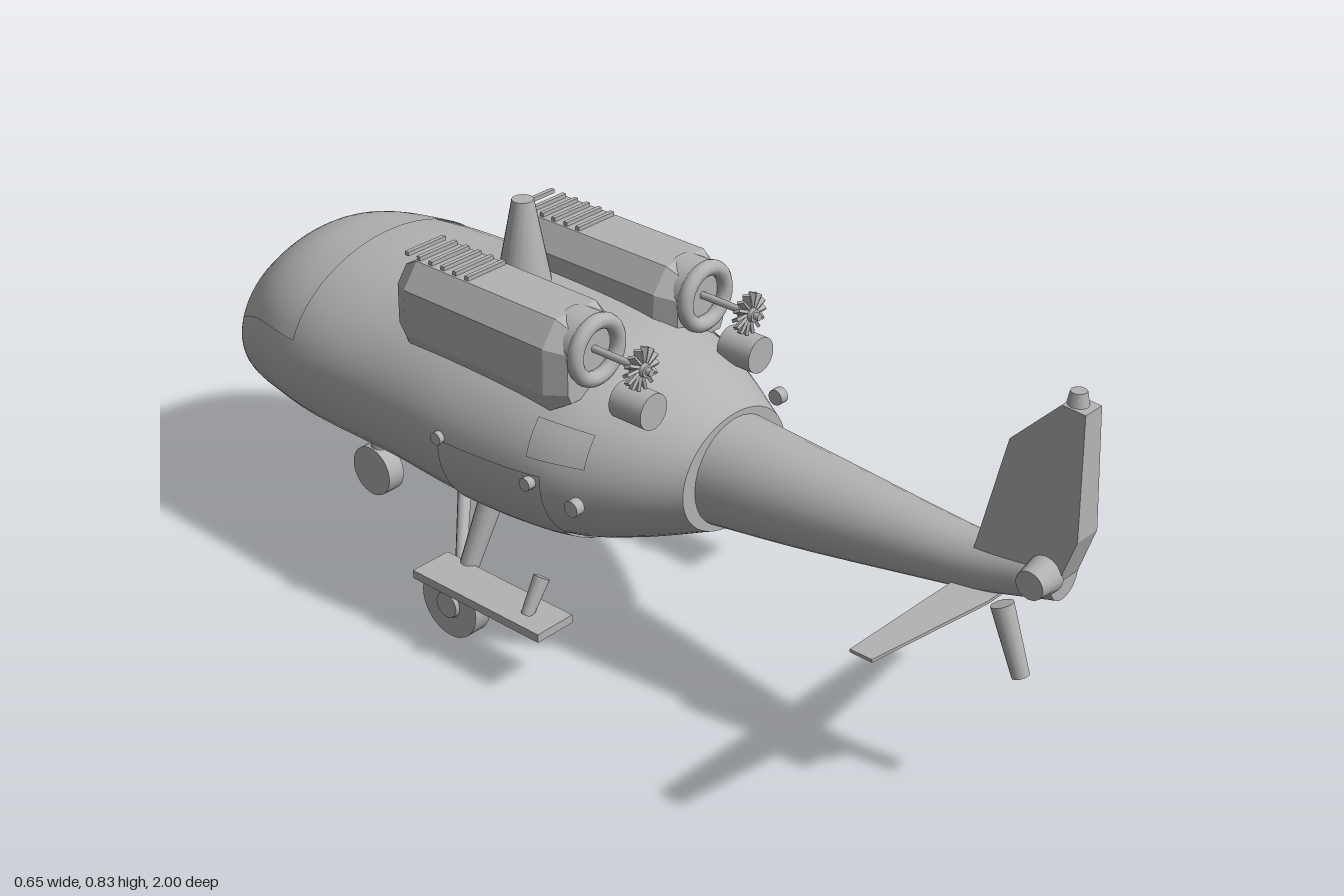
import * as THREE from 'three';

const V = (x, y, z) => new THREE.Vector3(x, y, z);

export function createModel() {
  const root = new THREE.Group();
  const grey = new THREE.MeshStandardMaterial({ color: 0xb3b3b3, side: THREE.DoubleSide });
  grey.name = 'plain grey';

  function add(name, geo, x = 0, y = 0, z = 0) {
    const m = new THREE.Mesh(geo, grey);
    m.name = name;
    m.position.set(x, y, z);
    root.add(m);
    return m;
  }
  const box = (name, w, h, d, x, y, z) => add(name, new THREE.BoxGeometry(w, h, d), x, y, z);

  // Cylinder or cone running from point a to point b
  function bar(name, a, b, ra, rb = ra, sides = 16) {
    const m = add(name, new THREE.CylinderGeometry(rb, ra, a.distanceTo(b), sides));
    m.position.copy(a).add(b).multiplyScalar(0.5);
    m.quaternion.setFromUnitVectors(V(0, 1, 0), b.clone().sub(a).normalize());
    return m;
  }

  // Smooth skin through elliptical sections [z, top, bottom, half width]
  function loft(sections, { a0 = 0, a1 = Math.PI * 2, t0 = 0, t1 = 1, off = 0, rows = 60, cols = 48 } = {}) {
    const heights = new THREE.CatmullRomCurve3(sections.map(s => V(s[0], s[1], s[2])), false, 'catmullrom');
    const widths = new THREE.CatmullRomCurve3(sections.map(s => V(s[0], s[3], 0)), false, 'catmullrom');
    const pos = [], idx = [];
    for (let i = 0; i <= rows; i++) {
      const t = t0 + (t1 - t0) * i / rows;
      const h = heights.getPoint(t), w = widths.getPoint(t).y + off;
      const cy = (h.y + h.z) / 2, ry = (h.y - h.z) / 2 + off;
      for (let j = 0; j <= cols; j++) {
        const a = a0 + (a1 - a0) * j / cols;
        pos.push(Math.cos(a) * w, cy + Math.sin(a) * ry, h.x);
        if (i < rows && j < cols) {
          const k = i * (cols + 1) + j, n = k + cols + 1;
          idx.push(k, k + 1, n, k + 1, n + 1, n);
        }
      }
    }
    const g = new THREE.BufferGeometry();
    g.setAttribute('position', new THREE.Float32BufferAttribute(pos, 3));
    g.setIndex(idx);
    g.computeVertexNormals();
    return g;
  }
  // Flat end on a lofted body
  function endCap(name, [z, top, bottom, w], facing) {
    const m = add(name, new THREE.CircleGeometry(1, 48), 0, (top + bottom) / 2, z);
    m.scale.set(w, (top - bottom) / 2, 1);
    if (facing < 0) m.rotation.y = Math.PI;
  }

  // Fuselage, nose towards -z
  const body = [
    [-1, .30, .28, .012], [-.98, .37, .245, .075], [-.94, .43, .22, .13], [-.88, .51, .203, .18],
    [-.77, .59, .207, .235], [-.62, .615, .213, .276], [-.4, .625, .213, .284], [-.2, .63, .203, .289],
    [0, .62, .212, .268], [.13, .585, .25, .215], [.26, .535, .305, .14]];
  add('fuselage', loft(body));
  endCap('noseTip', body[0], -1);
  endCap('fuselageRearWall', body[10], 1);

  // Thin raised panels that follow the skin
  add('windscreen', loft(body, { a0: .3, a1: Math.PI - .3, t0: .3, t1: .5, off: .003, rows: 16, cols: 24 }));
  for (const s of [0, 1]) {
    const span = (lo, hi) => s ? { a0: Math.PI - hi, a1: Math.PI - lo } : { a0: lo, a1: hi };
    add('sideDoor', loft(body, { ...span(-1.1, .05), t0: .7, t1: .82, off: .004, rows: 12, cols: 14 }));
    add('sideWindow', loft(body, { ...span(.2, .55), t0: .8, t1: .88, off: .004, rows: 8, cols: 6 }));
  }

  // Tail boom
  const boom = [[.24, .525, .31, .11], [.45, .515, .34, .09], [.67, .505, .378, .065],
    [.81, .503, .405, .05], [.96, .525, .447, .038]];
  add('tailBoom', loft(boom, { rows: 24, cols: 32 }));
  endCap('tailBoomEnd', boom[4], 1);

  // Tail fin, thinner towards the top
  const finShape = new THREE.Shape([[.80, .49], [.965, .49], [.995, .58], [.985, .805], [.94, .808], [.85, .715]]
    .map(p => new THREE.Vector2(-p[0], p[1])));
  const finGeo = new THREE.ExtrudeGeometry(finShape, { depth: .06, bevelEnabled: false });
  finGeo.translate(0, 0, -.03).rotateY(Math.PI / 2);
  const fp = finGeo.attributes.position;
  for (let i = 0; i < fp.count; i++) {
    fp.setX(i, fp.getX(i) * (1 - (fp.getY(i) - .49) * .8));
    fp.setZ(i, Math.abs(fp.getZ(i)));
  }
  finGeo.computeVertexNormals();
  // The extrusion already runs along +z after the turn
  add('tailFin', finGeo);
  bar('finCap', V(0, .80, .955), V(0, .83, .955), .02, .014, 10);

  // Tailplane
  const planeShape = new THREE.Shape([[-.315, .77], [.315, .77], [.315, .815], [.05, .85], [-.05, .85], [-.315, .815]]
    .map(p => new THREE.Vector2(...p)));
  const planeGeo = new THREE.ExtrudeGeometry(planeShape, { depth: .006, bevelEnabled: false });
  planeGeo.rotateX(Math.PI / 2);
  add('tailplane', planeGeo, 0, .419, 0);

  // Tail rotor hub and tail bumper
  bar('tailRotorHub', V(-.025, .50, .94), V(-.072, .497, .94), .034, .027);
  bar('tailBumper', V(0, .388, .845), V(0, .265, .893), .021, .016, 12);

  // Main rotor mast
  bar('rotorMast', V(0, .61, -.26), V(0, .79, -.26), .055, .021, 20);

  // Nacelle cross-section
  const nacelle = new THREE.Shape([[-.07, -.087], [.07, -.087], [.086, -.05], [.086, .04], [.052, .087],
    [-.052, .087], [-.086, .04], [-.086, -.05]].map(p => new THREE.Vector2(...p)));

  for (const s of [1, -1]) {
    const x = s * .145;
    // Engine
    add('engineNacelle', new THREE.ExtrudeGeometry(nacelle, { depth: .35, bevelEnabled: true,
      bevelSegments: 1, bevelThickness: .04, bevelSize: .022, bevelOffset: -.022 }), x, .62, -.34);
    add('intakeRing', new THREE.TorusGeometry(.055, .015, 12, 32), x, .645, .06);
    bar('intakeBarrel', V(x, .645, 0), V(x, .645, .053), .066, .066, 32);
    bar('fanShaft', V(x, .645, .04), V(x, .645, .19), .007, .007, 10);
    bar('fanHub', V(x, .645, .15), V(x, .645, .18), .016, .012, 14);
    for (let i = 0; i < 14; i++) {
      const blade = box('fanBlade', .03, .006, .014, 0, 0, 0);
      const a = i / 14 * Math.PI * 2;
      blade.position.set(x + Math.cos(a) * .025, .645 + Math.sin(a) * .025, .165);
      blade.rotation.set(0, 0, a);
      blade.rotateX(.5);
    }
    bar('exhaustPipe', V(x, .57, .12), V(x, .57, .195), .035, .035, 24);
    for (let i = 0; i < 6; i++) box('ventSlat', .095, .008, .009, x, .711, -.215 - i * .031);

    // Small side fittings
    bar('sideSensor', V(s * .27, .41, .13), V(s * .289, .41, .13), .016, .016, 14);
    bar('sideLamp', V(s * .26, .41, .01), V(s * .283, .41, .01), .013, .013, 12);
    bar('sideKnob', V(s * .275, .43, -.2), V(s * .298, .43, -.2), .013, .013, 12);

    // Main landing gear
    bar('mainWheel', V(s * .245, .072, -.195), V(s * .283, .072, -.195), .071, .071, 32);
    bar('wheelHub', V(s * .28, .072, -.195), V(s * .291, .072, -.195), .029, .026, 18);
    bar('mainStrut', V(s * .255, .08, -.195), V(s * .18, .26, -.18), .017, .024, 12);
    bar('rearBrace', V(s * .25, .09, -.20), V(s * .13, .245, -.30), .010, .014, 10);
    box('stepPlate', .09, .017, .325, s * .28, .135, -.083);
    bar('stepPost', V(s * .287, .14, .015), V(s * .247, .203, .015), .012, .016, 10);
  }

  // Nose gear
  bar('noseWheel', V(-.02, .054, -.695), V(.02, .054, -.695), .054, .054, 32);
  bar('noseStrut', V(0, .06, -.695), V(0, .24, -.68), .015, .021, 12);

  return root;
}
